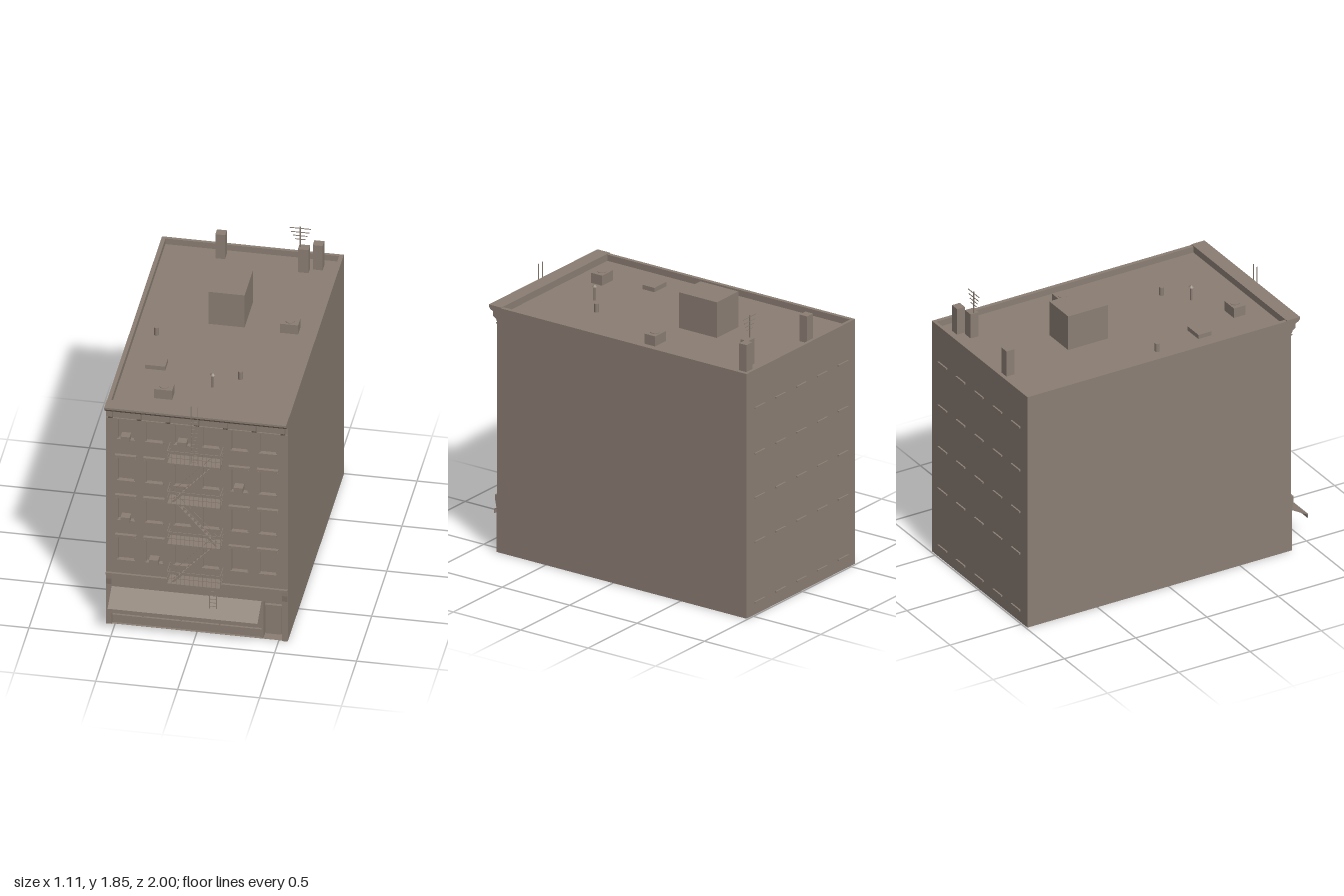
import * as THREE from 'three';

const stone = new THREE.MeshStandardMaterial({ color: 0x8c7f74, side: THREE.DoubleSide });
stone.name = 'brownstone';

const W = 1.11, H = 1.58, FRONT = 0.86, BACK = -0.99, ROOF = 1.54;
const COLS = [-0.433, -0.26, -0.087, 0.087, 0.26, 0.433];
const SILLS = [0.47, 0.755, 1.04, 1.335];

function add(group, name, geometry, x = 0, y = 0, z = 0) {
  const mesh = new THREE.Mesh(geometry, stone);
  mesh.name = name;
  mesh.position.set(x, y, z);
  group.add(mesh);
  return mesh;
}

// Box given by its lower and upper limits on each axis
function block(group, name, x0, x1, y0, y1, z0, z1) {
  return add(group, name, new THREE.BoxGeometry(x1 - x0, y1 - y0, z1 - z0),
    (x0 + x1) / 2, (y0 + y1) / 2, (z0 + z1) / 2);
}

// Box that keeps only the listed faces (0 +x, 1 -x, 2 +y, 3 -y, 4 +z, 5 -z)
function shell(group, name, x0, x1, y0, y1, z0, z1, faces) {
  const mesh = block(group, name, x0, x1, y0, y1, z0, z1);
  const index = Array.from(mesh.geometry.index.array);
  mesh.geometry.setIndex(faces.flatMap(f => index.slice(f * 6, f * 6 + 6)));
  mesh.geometry.clearGroups();
  return mesh;
}

// Square bar between two points
function bar(group, name, a, b, t = 0.004, tall = t) {
  const p = new THREE.Vector3(...a), q = new THREE.Vector3(...b);
  const mesh = add(group, name, new THREE.BoxGeometry(t, tall, p.distanceTo(q)));
  mesh.position.copy(p).add(q).multiplyScalar(0.5);
  mesh.lookAt(q);
  return mesh;
}

function rect(Type, x0, x1, y0, y1) {
  const s = new Type();
  s.moveTo(x0, y0);
  s.lineTo(x1, y0);
  s.lineTo(x1, y1);
  s.lineTo(x0, y1);
  s.closePath();
  return s;
}

// Prism from a (z, y) profile, spanning x0 to x1
function profile(group, name, points, x0, x1) {
  const shape = new THREE.Shape(points.map(([z, y]) => new THREE.Vector2(-z, y)));
  const g = new THREE.ExtrudeGeometry(shape, { depth: x1 - x0, bevelEnabled: false });
  g.rotateY(Math.PI / 2);
  return add(group, name, g, x0, 0, 0);
}

function part(parent, name) {
  const g = new THREE.Group();
  g.name = name;
  parent.add(g);
  return g;
}

function buildShell(root) {
  const g = part(root, 'building');
  shell(g, 'walls', -W / 2, W / 2, 0, H, BACK, FRONT, [0, 1, 5]);
  shell(g, 'sunkenRoof', -0.53, 0.53, ROOF, H, -0.97, 0.83, [0, 1, 3, 5, 4]);
  const rim = rect(THREE.Shape, -W / 2, W / 2, -FRONT, -BACK);
  rim.holes.push(rect(THREE.Path, -0.53, 0.53, -0.83, 0.97));
  add(g, 'parapetTop', new THREE.ShapeGeometry(rim).rotateX(-Math.PI / 2), 0, H, 0);

  // Front wall with openings
  const wall = rect(THREE.Shape, -W / 2, W / 2, 0, H);
  for (const y of SILLS) for (const x of COLS)
    wall.holes.push(rect(THREE.Path, x - 0.048, x + 0.048, y, y + (y > 1.3 ? 0.14 : 0.16)));
  wall.holes.push(rect(THREE.Path, -0.52, 0.52, 0.001, 0.27));
  add(g, 'frontWall', new THREE.ShapeGeometry(wall), 0, 0, FRONT);

  // Back sills
  for (const y of [0.08, ...SILLS])
    for (let i = -2; i <= 2; i++)
      block(g, 'backSill', i * 0.213 - 0.05, i * 0.213 + 0.05, y - 0.005, y + 0.005, -1, BACK);
}

function buildWindows(root) {
  const g = part(root, 'windows');
  for (const y of SILLS) for (const x of COLS) {
    const top = y + (y > 1.3 ? 0.14 : 0.16);
    shell(g, 'windowRecess', x - 0.048, x + 0.048, y, top, FRONT - 0.02, FRONT, [0, 1, 2, 3, 5]);
    block(g, 'sill', x - 0.055, x + 0.055, y - 0.01, y, FRONT, FRONT + 0.01);
    if (y > 1.3) continue;
    block(g, 'lintel', x - 0.056, x + 0.056, top, top + 0.017, FRONT, FRONT + 0.013);
    block(g, 'lintelCap', x - 0.065, x + 0.065, top + 0.017, top + 0.025, FRONT, FRONT + 0.022);
    for (const s of [-1, 1])
      block(g, 'lintelBracket', x + s * 0.053 - 0.006, x + s * 0.053 + 0.006, top - 0.02, top, FRONT, FRONT + 0.01);
  }
  // Window air conditioners
  for (const [x, y] of [[-0.433, 0.755], [-0.26, 0.47], [0.257, 1.05], [-0.433, 1.335], [-0.087, 1.335]])
    block(g, 'windowAirConditioner', x - 0.028, x + 0.028, y, y + 0.035, FRONT - 0.02, FRONT + 0.033);
}

function buildCornice(root) {
  const g = part(root, 'cornice');
  profile(g, 'corniceMoulding', [[FRONT, 1.535], [0.885, 1.54], [0.895, 1.552], [0.91, 1.556],
    [0.922, 1.572], [0.922, 1.585], [0.83, 1.585], [0.83, 1.58], [FRONT, 1.58]], -W / 2, W / 2);
  block(g, 'frieze', -W / 2, W / 2, 1.475, 1.482, FRONT, FRONT + 0.008);
  for (let i = -3; i <= 3; i++) {
    const x = i * 0.1755;
    profile(g, 'corniceBracket', [[FRONT, 1.48], [0.872, 1.482], [0.882, 1.5], [0.9, 1.51], [0.9, 1.555], [FRONT, 1.555]],
      x - 0.014, x + 0.014);
  }
  for (let i = -18; i <= 18; i++)
    block(g, 'dentil', i * 0.029 - 0.007, i * 0.029 + 0.007, 1.525, 1.54, FRONT, FRONT + 0.02);
}

function buildStorefront(root) {
  const g = part(root, 'storefront');
  shell(g, 'shopRecess', -0.52, 0.4, 0.001, 0.27, FRONT - 0.03, FRONT, [0, 1, 2, 3, 5]);
  shell(g, 'doorRecess', 0.4, 0.52, 0.001, 0.27, FRONT - 0.07, FRONT, [0, 1, 2, 3, 5]);
  block(g, 'shopBase', -0.52, 0.4, 0.001, 0.055, 0.83, 0.845);
  for (const x of [-0.335, -0.1, 0.135])
    block(g, 'shopMullion', x - 0.005, x + 0.005, 0.055, 0.27, 0.83, 0.842);
  block(g, 'doorPost', 0.395, 0.405, 0, 0.27, 0.79, FRONT);
  block(g, 'door', 0.41, 0.505, 0.001, 0.205, 0.79, 0.8);
  block(g, 'doorHead', 0.4, 0.52, 0.205, 0.213, 0.79, 0.81);
  block(g, 'signBoard', -0.52, 0.52, 0.272, 0.355, FRONT, FRONT + 0.006);
  block(g, 'shopCornice', -W / 2, W / 2, 0.357, 0.37, FRONT, FRONT + 0.016);
  for (const s of [-1, 1]) {
    const x = s * 0.537;
    block(g, 'pilaster', x - 0.017, x + 0.017, 0, 0.285, FRONT, FRONT + 0.006);
    profile(g, 'pilasterBracket', [[FRONT, 0.28], [0.866, 0.285], [0.875, 0.33], [0.876, 0.357], [FRONT, 0.357]],
      x - 0.017, x + 0.017);
  }
  // Sloping awning with valance
  profile(g, 'awning', [[FRONT, 0.275], [1, 0.195], [1, 0.168], [0.996, 0.168], [0.996, 0.19], [FRONT, 0.268]], -0.52, 0.395);
}

function buildFireEscape(root) {
  const g = part(root, 'fireEscape');
  const floors = [0.39, 0.675, 0.965, 1.255], x0 = -0.163, x1 = 0.16, z0 = FRONT, z1 = 0.96;
  for (const y of floors) {
    block(g, 'platform', x0, x1, y - 0.004, y + 0.004, z0, z1);
    for (const h of [0.045, 0.09]) {
      bar(g, 'frontRail', [x0, y + h, z1], [x1, y + h, z1]);
      for (const x of [x0, x1]) bar(g, 'sideRail', [x, y + h, z0], [x, y + h, z1]);
    }
    for (let i = 0; i <= 12; i++) {
      const x = x0 + (x1 - x0) * i / 12;
      block(g, 'baluster', x - 0.0013, x + 0.0013, y, y + 0.09, z1 - 0.0013, z1 + 0.0013);
    }
    for (const x of [x0, x1]) for (const z of [0.89, 0.913, 0.937])
      block(g, 'sideBaluster', x - 0.0013, x + 0.0013, y, y + 0.09, z - 0.0013, z + 0.0013);
  }
  // Stairs that zigzag between platforms
  for (let i = 0; i < 3; i++) {
    const s = i === 1 ? -1 : 1, a = [-0.135 * s, floors[i]], b = [0.125 * s, floors[i + 1]];
    for (const z of [0.9, 0.935]) bar(g, 'stairStringer', [...a, z], [...b, z], 0.004, 0.012);
    bar(g, 'stairHandrail', [a[0], a[1] + 0.08, 0.937], [b[0], b[1] + 0.08, 0.937], 0.003);
    for (let k = 1; k < 12; k++) {
      const x = a[0] + (b[0] - a[0]) * k / 12, y = a[1] + (b[1] - a[1]) * k / 12;
      block(g, 'stairTread', x - 0.008, x + 0.008, y - 0.0015, y + 0.0015, 0.9, 0.935);
    }
  }
  // Drop ladder and roof ladder
  for (const [lx, rx, y0, y1] of [[0.092, 0.135, 0.235, 0.39], [-0.022, 0.02, 1.255, 1.67]]) {
    for (const x of [lx, rx]) bar(g, 'ladderRail', [x, y0, 0.943], [x, y1, 0.9431]);
    const top = Math.min(y1, 1.56);
    for (let y = y0 + 0.015; y < top; y += 0.026) bar(g, 'ladderRung', [lx, y, 0.943], [rx, y, 0.943], 0.003);
  }
}

function buildRoofObjects(root) {
  const g = part(root, 'roofObjects');
  const item = (name, x, z, w, d, top) => block(g, name, x - w / 2, x + w / 2, ROOF, top, z - d / 2, z + d / 2);
  item('stairBulkhead', -0.008, -0.3, 0.22, 0.28, 1.77);
  item('chimney', -0.178, -0.9, 0.06, 0.055, 1.712);
  item('chimney', 0.34, -0.84, 0.065, 0.055, 1.705);
  item('chimney', 0.42, -0.885, 0.06, 0.055, 1.715);
  item('roofHatch', -0.343, 0.345, 0.125, 0.09, 1.568);
  for (const [x, z] of [[0.377, -0.182], [-0.237, 0.657]]) {
    item('roofUnit', x, z, 0.11, 0.08, 1.605);
    add(g, 'roofUnitFan', new THREE.CylinderGeometry(0.028, 0.028, 0.004, 16), x, 1.607, z);
  }
  for (const [x, z] of [[-0.403, 0.012], [0.18, 0.395]])
    add(g, 'ventPipe', new THREE.CylinderGeometry(0.015, 0.015, 0.055, 12), x, ROOF + 0.0275, z);
  add(g, 'stackPipe', new THREE.CylinderGeometry(0.007, 0.007, 0.09, 10), 0.033, ROOF + 0.045, 0.515);
  add(g, 'stackCap', new THREE.CylinderGeometry(0.006, 0.018, 0.012, 12), 0.033, 1.634, 0.515);

  // Aerial
  block(g, 'aerialMast', 0.314, 0.32, 1.7, 1.85, -0.843, -0.837);
  [[1.838, 0.066], [1.81, 0.055], [1.785, 0.043], [1.76, 0.032]].forEach(([y, r]) =>
    bar(g, 'aerialBar', [0.317 - r, y, -0.84], [0.317 + r, y, -0.84]));
}

export function createModel() {
  const root = new THREE.Group();
  root.name = 'apartmentBuilding';
  [buildShell, buildWindows, buildCornice, buildStorefront, buildFireEscape, buildRoofObjects].forEach(f => f(root));
  return root;
}
